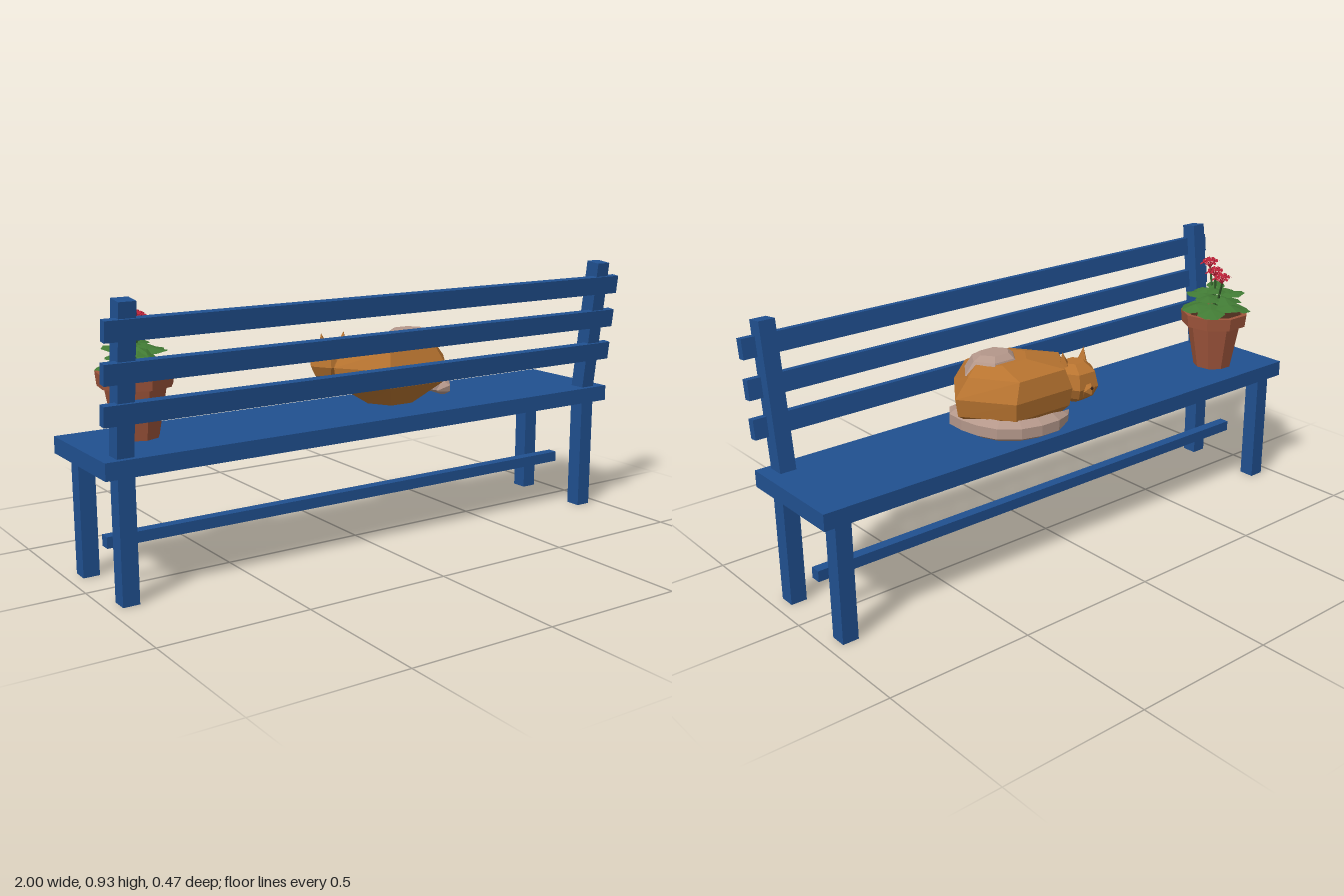
import * as THREE from 'three';

const mat = (color, side = THREE.FrontSide) =>
  new THREE.MeshStandardMaterial({ color, flatShading: true, side });
const blue = mat(0x205090), orange = mat(0xb87430), cream = mat(0xb4978a);
const clay = mat(0xa0563c), soil = mat(0x4a2c1c), dark = mat(0x3a2418);
const leafMat = mat(0x417a34, THREE.DoubleSide), stemMat = mat(0x35602c);
const red = mat(0xb82238, THREE.DoubleSide);

function add(parent, name, geometry, material, x = 0, y = 0, z = 0) {
  const mesh = new THREE.Mesh(geometry, material);
  mesh.name = name;
  mesh.position.set(x, y, z);
  parent.add(mesh);
  return mesh;
}

// Stacked polygon rings, top to bottom: [y, centreX, centreZ, radiusX, radiusZ]
function loft(rings, sides) {
  const n = rings.length - 1;
  const geo = new THREE.CylinderGeometry(1, 1, 1, sides, n, false, Math.PI / 6);
  const p = geo.attributes.position;
  for (let i = 0; i < p.count; i++) {
    const [y, cx, cz, rx, rz] = rings[Math.round((0.5 - p.getY(i)) * n)];
    p.setXYZ(i, cx + p.getX(i) * rx, y, cz + p.getZ(i) * rz);
  }
  return geo;
}

// Tapered rod between two points
function rod(parent, name, a, b, r, material) {
  const d = b.clone().sub(a);
  const m = add(parent, name, new THREE.CylinderGeometry(r * 0.8, r, d.length(), 5), material);
  m.position.copy(a).addScaledVector(d, 0.5);
  m.quaternion.setFromUnitVectors(new THREE.Vector3(0, 1, 0), d.normalize());
}

function makeBench() {
  const bench = new THREE.Group();
  bench.name = 'bench';
  add(bench, 'seat', new THREE.BoxGeometry(2, 0.055, 0.398), blue, 0, 0.428, -0.002);
  add(bench, 'stretcher', new THREE.BoxGeometry(1.86, 0.037, 0.037), blue, 0, 0.153, -0.001);
  const tilt = 0.12;
  for (const s of [-1, 1]) {
    const x = s * 0.927;
    add(bench, 'frontLeg', new THREE.BoxGeometry(0.055, 0.405, 0.056), blue, x, 0.2025, -0.155);
    add(bench, 'backLeg', new THREE.BoxGeometry(0.055, 0.405, 0.056), blue, x, 0.2025, 0.15);
    add(bench, 'backPost', new THREE.BoxGeometry(0.055, 0.485, 0.056), blue, x, 0.682, 0.177)
      .rotation.x = tilt;
  }
  for (const [y, z] of [[0.592, 0.19], [0.715, 0.204], [0.84, 0.219]]) {
    add(bench, 'backSlat', new THREE.BoxGeometry(2, 0.064, 0.028), blue, 0, y, z).rotation.x = tilt;
  }
  return bench;
}

function makeCat() {
  const cat = new THREE.Group();
  cat.name = 'sleepingCat';
  add(cat, 'body', loft([
    [0.695, 0.2, -0.01, 0.1, 0.08],
    [0.665, 0.16, -0.03, 0.19, 0.165],
    [0.6, 0.165, -0.025, 0.235, 0.19],
    [0.54, 0.165, -0.025, 0.225, 0.18],
    [0.457, 0.17, -0.04, 0.09, 0.09],
  ], 6), orange);
  add(cat, 'backPatch', loft([
    [0.715, 0.22, 0, 0.055, 0.045],
    [0.7, 0.225, 0, 0.08, 0.07],
    [0.66, 0.225, 0, 0.115, 0.09],
  ], 6), cream);

  // Tail curls round the open side of the bench
  const path = new THREE.CatmullRomCurve3([
    [0.26, 0.12], [0.33, 0.08], [0.345, -0.05], [0.3, -0.16], [0.2, -0.2], [0.1, -0.19], [0.03, -0.15],
  ].map(([x, z]) => new THREE.Vector3(x, 0.507, z)));
  const tail = new THREE.TubeGeometry(path, 10, 0.035, 6);
  const p = tail.attributes.position;
  for (let i = 0; i < p.count; i++) { // pinch both ends
    const t = Math.floor(i / 7) / 10, c = path.getPointAt(t);
    const k = Math.min(1, 0.1 + t * 5, 0.1 + (1 - t) * 5);
    const v = new THREE.Vector3().fromBufferAttribute(p, i).sub(c).multiplyScalar(k).add(c);
    p.setXYZ(i, v.x, v.y, v.z);
  }
  add(cat, 'tail', tail, cream);

  // Head rests on the open side, nose towards -z
  const head = new THREE.Group();
  head.name = 'head';
  head.position.set(-0.01, 0.6, -0.14);
  add(head, 'skull', loft([
    [0.066, 0, 0.01, 0.04, 0.035],
    [0.04, 0, 0, 0.068, 0.066],
    [-0.01, 0, 0, 0.08, 0.078],
    [-0.045, 0, 0, 0.062, 0.06],
    [-0.066, 0, 0.01, 0.035, 0.035],
  ], 6), orange);
  add(head, 'muzzle', new THREE.IcosahedronGeometry(0.028, 0), orange, 0, -0.015, -0.056);
  add(head, 'nose', new THREE.OctahedronGeometry(0.007), dark, 0, -0.005, -0.08);
  for (const s of [-1, 1]) {
    const ear = add(head, 'ear', new THREE.ConeGeometry(0.027, 0.06, 4), orange, s * 0.042, 0.075, 0.014);
    ear.rotation.z = -s * 0.15;
  }
  cat.add(head);
  return cat;
}

function makePlant() {
  const plant = new THREE.Group();
  plant.name = 'pottedPlant';
  plant.position.set(-0.785, 0, -0.05);
  const profile = [[0, 0.456], [0.07, 0.456], [0.1, 0.62], [0.12, 0.62], [0.125, 0.665],
    [0.107, 0.665], [0.1, 0.645]].map(([x, y]) => new THREE.Vector2(x, y));
  add(plant, 'pot', new THREE.LatheGeometry(profile, 9), clay);
  add(plant, 'soil', new THREE.CylinderGeometry(0.102, 0.102, 0.01, 9), soil, 0, 0.647, 0);

  // Cupped leaf lying along +z from its base
  const leafGeo = new THREE.CircleGeometry(0.055, 7).rotateX(-Math.PI / 2);
  const p = leafGeo.attributes.position;
  for (let i = 0; i < p.count; i++) {
    const x = p.getX(i), z = p.getZ(i) + 0.055;
    p.setXYZ(i, x, 0.015 - Math.abs(x) * 0.3 - z * z * 2, z);
  }
  // Rows: count, base height, base radius, upward tilt, size
  for (const [n, y, r, tilt, size] of [[7, 0.69, 0.03, 0.0, 0.95], [6, 0.72, 0.015, -0.15, 0.85], [4, 0.745, 0, -0.15, 0.65]]) {
    for (let i = 0; i < n; i++) {
      const a = (i / n) * Math.PI * 2 + y * 20;
      const leaf = add(plant, 'leaf', leafGeo, leafMat, Math.sin(a) * r, y, Math.cos(a) * r);
      leaf.rotation.set(tilt + 0.15 * Math.sin(i * 2.4), a, 0, 'YXZ');
      leaf.scale.setScalar(size);
    }
  }
  const base = new THREE.Vector3(0, 0.65, 0);
  const longLeaf = add(plant, 'droopingLeaf', leafGeo, leafMat, 0, 0.735, 0.03);
  longLeaf.rotation.x = 0.2;
  longLeaf.scale.set(0.6, 1, 1);

  // Flower heads: small stalks, each ending in a folded petal
  const petal = new THREE.CircleGeometry(0.009, 5).rotateX(-Math.PI / 2).translate(0, 0, 0.008);
  for (const [x, y, z] of [[-0.01, 0.835, 0.042], [0.02, 0.815, -0.012], [0.05, 0.808, -0.072]]) {
    const top = new THREE.Vector3(x, y - 0.015, z);
    rod(plant, 'stem', base, top, 0.005, stemMat);
    const flower = new THREE.Group();
    flower.name = 'flowerHead';
    flower.position.copy(top);
    for (let i = 0; i < 12; i++) {
      const a = i * 2.4, r = 0.03 * Math.sqrt((i + 0.5) / 12);
      const tip = new THREE.Vector3(Math.sin(a) * r, 0.04 - r * r * 18, Math.cos(a) * r);
      rod(flower, 'stalk', new THREE.Vector3(), tip, 0.0015, red);
      for (const b of [0, 2.1, 4.2]) {
        const m = add(flower, 'petal', petal, red, tip.x, tip.y, tip.z);
        m.rotation.set(0.6, a + b, 0, 'YXZ');
        m.scale.x = 0.7;
      }
    }
    plant.add(flower);
  }
  return plant;
}

export function createModel() {
  const model = new THREE.Group();
  model.name = 'benchWithCatAndPlant';
  model.add(makeBench(), makeCat(), makePlant());
  return model;
}
